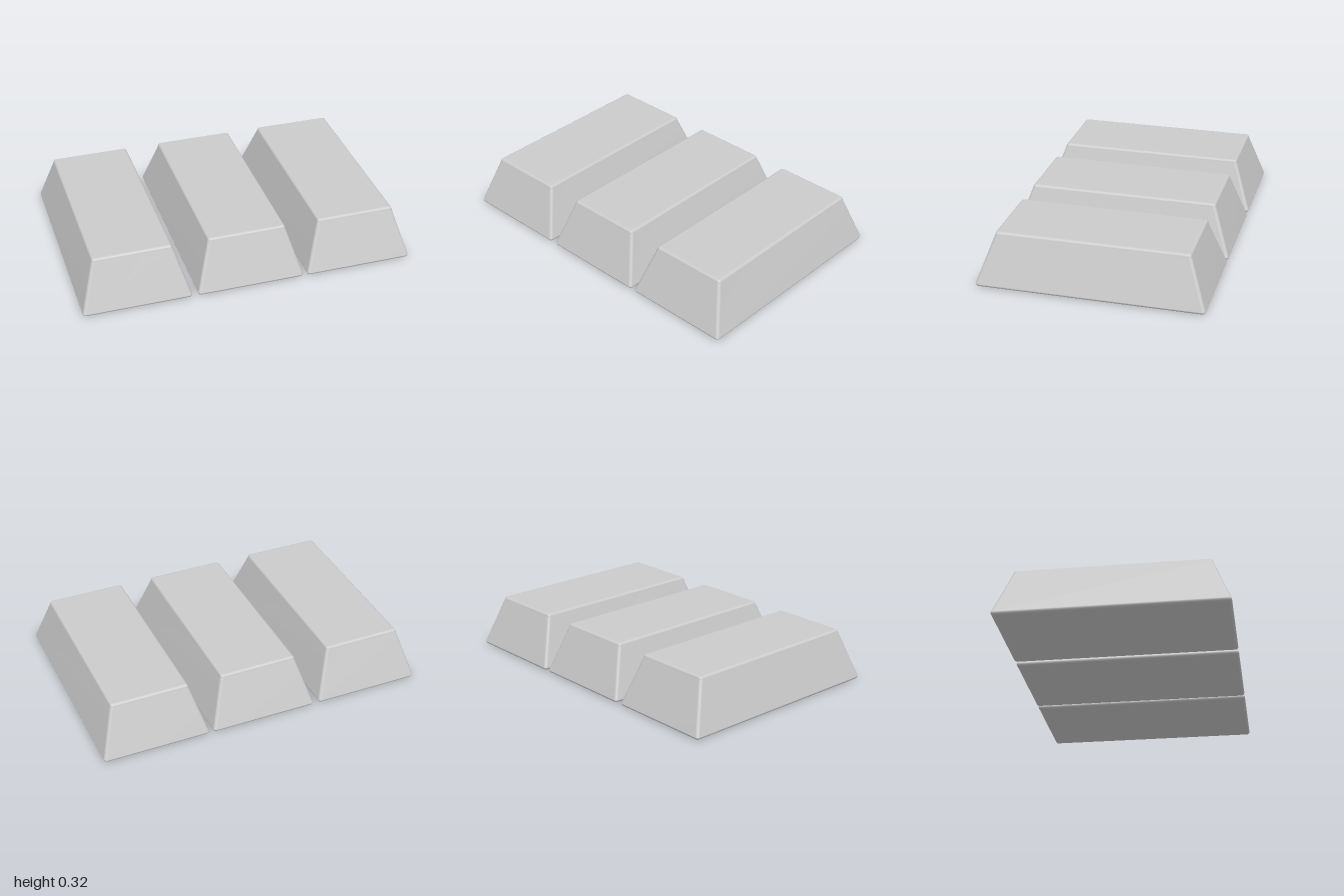
import * as THREE from 'three';
import { RoundedBoxGeometry } from 'three/addons/geometries/RoundedBoxGeometry.js';
import { mergeVertices } from 'three/addons/utils/BufferGeometryUtils.js';

const WIDTH = 0.645, HEIGHT = 0.317, DEPTH = 1.334, RADIUS = 0.018;
const INSET_X = 0.085, INSET_Z = 0.1;

// Softly rounded block whose four sides lean inwards towards the top
function ingotGeometry() {
  const box = new RoundedBoxGeometry(WIDTH, HEIGHT, DEPTH, 4, RADIUS);
  box.translate(0, HEIGHT / 2, 0);
  const p = box.attributes.position;
  for (let i = 0; i < p.count; i++) {
    const t = Math.min(1, Math.max(0, (p.getY(i) - RADIUS) / (HEIGHT - 2 * RADIUS)));
    p.setX(i, p.getX(i) - Math.sign(p.getX(i)) * INSET_X * t);
    p.setZ(i, p.getZ(i) - Math.sign(p.getZ(i)) * INSET_Z * t);
  }
  // Weld the seams so the bevels shade smoothly
  box.deleteAttribute('normal');
  box.deleteAttribute('uv');
  const welded = mergeVertices(box, 1e-5);
  welded.clearGroups();
  welded.computeVertexNormals();
  return welded;
}

export function createModel() {
  const group = new THREE.Group();
  group.name = 'ingots';
  const geometry = ingotGeometry();
  const material = new THREE.MeshStandardMaterial({ color: 0xcccccc });

  // Three bars side by side
  const bars = [['rightIngot', -0.6775], ['middleIngot', 0.005], ['leftIngot', 0.6775]];
  for (const [name, x] of bars) {
    const ingot = new THREE.Mesh(geometry, material);
    ingot.name = name;
    ingot.position.x = x;
    group.add(ingot);
  }
  return group;
}
